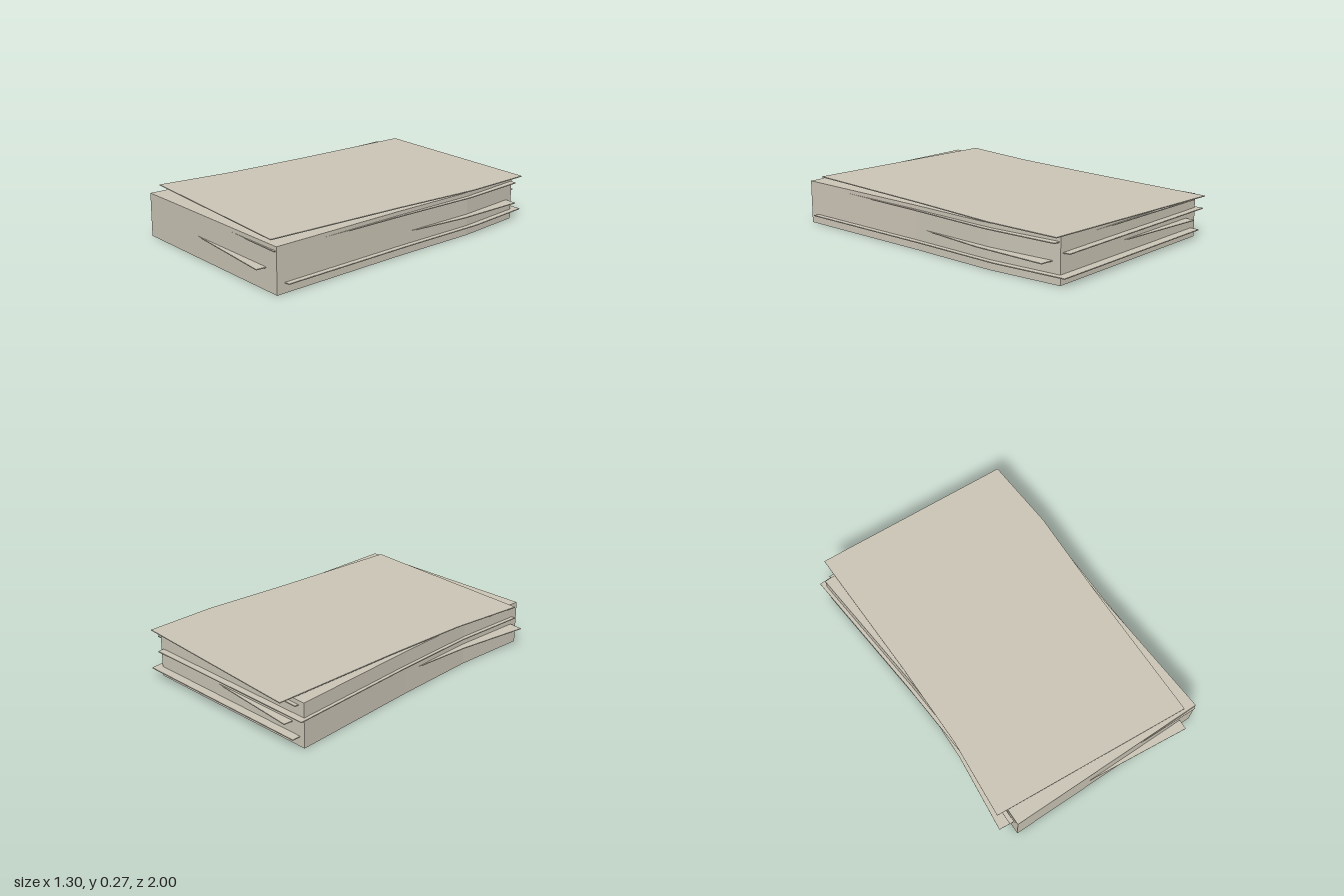
import * as THREE from 'three';

// Hand-cut outline of a page as [x, z] points
const OUTLINE = [
  [-0.6, -0.9], [-0.56, -0.1], [-0.546, 0.42], [-0.57, 0.885],
  [0.615, 0.95], [0.602, 0.1], [0.605, -0.43], [0.565, -0.86],
];

// Slab with the page outline, its base at y = 0
function pageGeometry(thickness) {
  const shape = new THREE.Shape(OUTLINE.map(([x, z]) => new THREE.Vector2(x, -z)));
  const geometry = new THREE.ExtrudeGeometry(shape, { depth: thickness, bevelEnabled: false });
  return geometry.rotateX(-Math.PI / 2);
}

export function createModel() {
  const group = new THREE.Group();
  group.name = 'paperStack';

  const paper = new THREE.MeshStandardMaterial({ color: 0xcbc5b6 });
  paper.name = 'paper';

  // Solid block of pages
  const block = new THREE.Mesh(pageGeometry(0.25), paper);
  block.name = 'pageBlock';
  group.add(block);

  // Loose sheets slipped out of line: height, x and z offset, turn in radians
  const thickness = 0.005;
  const sheet = pageGeometry(thickness);
  const sheets = [
    ['lowerSheet', 0.054, 0.03, -0.05, 0],
    ['middleSheet', 0.121, 0, 0, -0.094],
    ['upperMiddleSheet', 0.166, -0.022, -0.04, 0],
    ['upperSheet', 0.225, 0.017, -0.006, -0.026],
    ['topSheet', 0.264, 0, -0.06, -0.07],
  ];
  for (const [name, y, x, z, turn] of sheets) {
    const mesh = new THREE.Mesh(sheet, paper);
    mesh.name = name;
    mesh.position.set(x, y - thickness / 2, z);
    mesh.rotation.y = turn;
    group.add(mesh);
  }
  return group;
}
